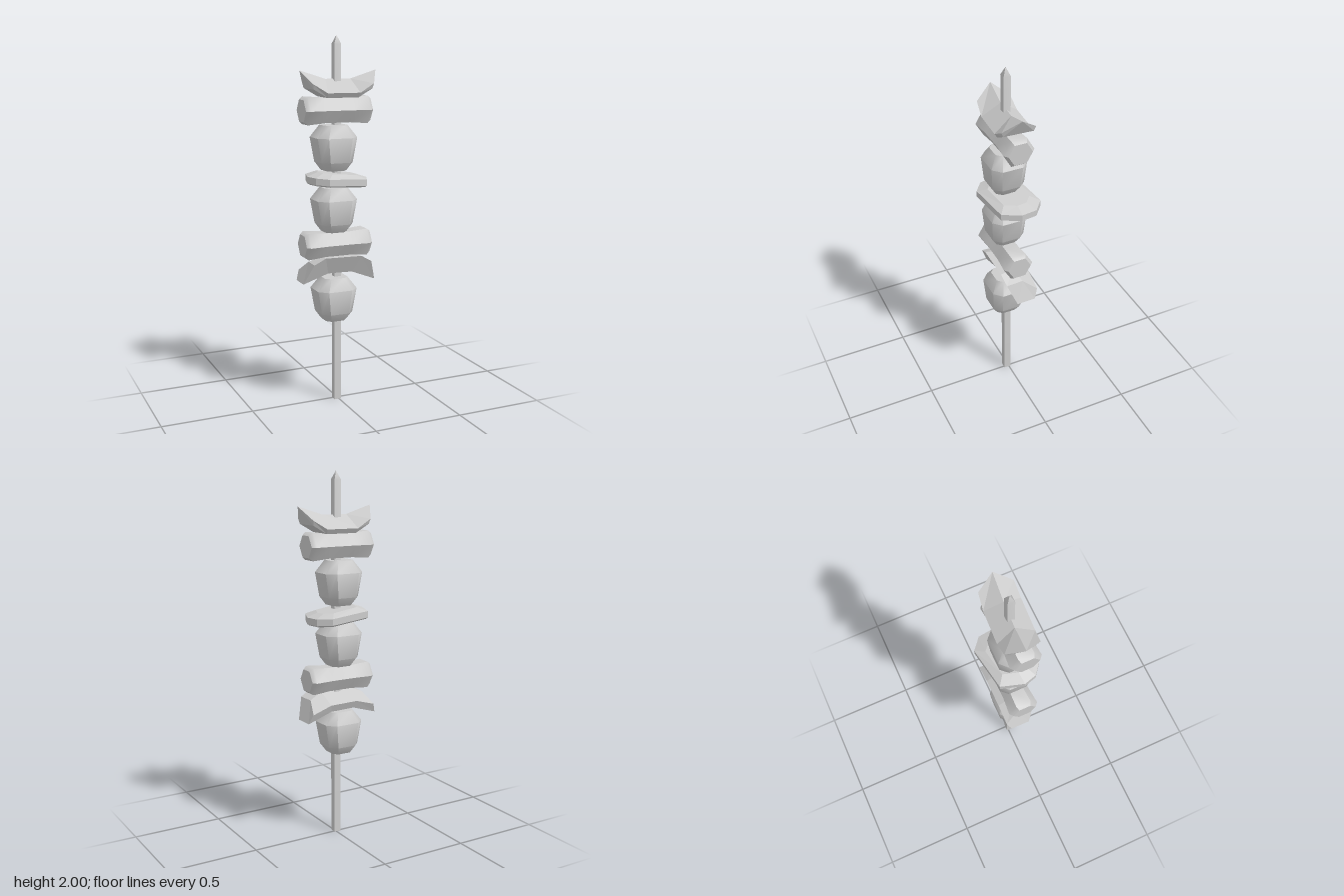
import * as THREE from 'three';
import { toCreasedNormals } from 'three/addons/utils/BufferGeometryUtils.js';

const CX = -0.008, CZ = 0.01; // skewer axis

// Closed skin over rings of [x, y, z]; rings run right-handed about the direction of travel
function loft(rings) {
  const pos = [];
  const n = rings[0].length;
  const tri = (a, b, c) => pos.push(...a, ...b, ...c);
  for (let i = 0; i < rings.length - 1; i++) {
    for (let j = 0; j < n; j++) {
      const k = (j + 1) % n;
      tri(rings[i][j], rings[i][k], rings[i + 1][k]);
      tri(rings[i][j], rings[i + 1][k], rings[i + 1][j]);
    }
  }
  const first = rings[0], last = rings[rings.length - 1];
  for (let j = 1; j < n - 1; j++) {
    tri(first[0], first[j + 1], first[j]);
    tri(last[0], last[j], last[j + 1]);
  }
  const g = new THREE.BufferGeometry();
  g.setAttribute('position', new THREE.Float32BufferAttribute(pos, 3));
  g.computeVertexNormals();
  return g;
}

const lathe = (profile, sides, start = 0) => new THREE.LatheGeometry(
  profile.map(([r, y]) => new THREE.Vector2(r, y)), sides, start);

// Square skewer with a pointed tip
function skewerGeometry() {
  const r = 0.019 * Math.SQRT2;
  return toCreasedNormals(lathe([[0, 0], [r, 0], [r, 1.955], [0, 2]], 4, Math.PI / 4), 0.6);
}

// Eight-sided chunk, tapering towards its base
function chunkGeometry() {
  const levels = [ // height, half width, half depth
    [0, 0.06, 0.062], [0.045, 0.09, 0.09], [0.175, 0.113, 0.1], [0.24, 0.066, 0.064],
  ];
  return toCreasedNormals(loft(levels.map(([y, a, b]) => {
    const p = a * 0.6, q = b * 0.57;
    return [[-p, b], [p, b], [a, q], [a, -q], [p, -b], [-p, -b], [-a, -q], [-a, q]]
      .map(([x, z]) => [x, y, z]);
  })), 0.8);
}

// Six-sided roll lying along x, slightly waisted, with bevelled ends
function rollGeometry() {
  const half = [[0.07, 0.06], [0.17, 0.084], [0.191, 0.066], [0.191, 0]]; // position, radius
  const profile = half.map(([y, r]) => [r, y]);
  const lower = profile.map(([r, y]) => [r, -y]).reverse();
  lower[lower.length - 1][0] = profile[0][0] = 0.075;
  const g = lathe([...lower, ...profile], 6);
  g.rotateZ(Math.PI / 2);
  return toCreasedNormals(g, 0.8);
}

// Curved wedge along x; each corner is [mid x, mid y, end x, end y, mid z, end z]
function wedgeGeometry(corners) {
  const mid = (s) => corners.map(([mx, my, , , mz]) => [s * mx, my, mz]);
  const end = (s) => corners.map(([, , ex, ey, , ez]) => [s * ex, ey, ez]);
  return loft([end(-1), mid(-1), mid(1), end(1)]);
}

// Thin slice with a crowned top, sloping down towards +x
function sliceGeometry() {
  const outline = [
    [-0.18, 0.02], [-0.16, 0.09], [-0.1, 0.137], [0.13, 0.1],
    [0.175, 0], [0.165, -0.085], [0.1, -0.14], [-0.14, -0.103],
  ];
  const ring = (y, s) => outline.map(([x, z]) => [x * s, y - 0.07 * x, z * s]);
  return loft([ring(1.212, 0.93), ring(1.22, 1), ring(1.255, 1), ring(1.276, 0.65)]);
}

export function createModel() {
  const group = new THREE.Group();
  const smooth = new THREE.MeshStandardMaterial({ color: 0xcccccc });
  const flat = new THREE.MeshStandardMaterial({ color: 0xcccccc, flatShading: true });
  const add = (name, geometry, material, x = 0, y = 0, z = 0) => {
    const mesh = new THREE.Mesh(geometry, material);
    mesh.name = name;
    mesh.position.set(x, y, z);
    group.add(mesh);
    return mesh;
  };

  add('skewer', skewerGeometry(), smooth, CX, 0, CZ);

  const chunk = chunkGeometry();
  [0.47, 0.963, 1.295].forEach((y, i) => add('chunk' + (i + 1), chunk, smooth, -0.026, y, 0.012));

  const roll = rollGeometry();
  [0.895, 1.613].forEach((y, i) => add('roll' + (i + 1), roll, smooth, -0.017, y, 0.013));

  add('slice', sliceGeometry(), flat);

  // Upper wedge: ridged on top, ends turned up
  const upper = add('upperWedge', wedgeGeometry([
    [0.07, 1.775, 0.213, 1.82, 0, 0],
    [0.09, 1.705, 0.168, 1.752, 0.096, 0.09],
    [0.085, 1.68, 0.163, 1.725, 0.08, 0.08],
    [0.085, 1.68, 0.163, 1.725, -0.08, -0.08],
    [0.09, 1.705, 0.168, 1.752, -0.096, -0.09],
  ]), flat, 0, 0, 0.012);
  upper.rotation.y = -0.055;

  // Lower wedge: leaning to the back, ends turned down
  const lower = add('lowerWedge', wedgeGeometry([
    [0.085, 0.828, 0.163, 0.795, 0.01, -0.01],
    [0.105, 0.83, 0.168, 0.795, 0.092, 0.085],
    [0.07, 0.735, 0.211, 0.683, 0.045, 0.04],
    [0.07, 0.73, 0.209, 0.683, -0.07, -0.066],
    [0.08, 0.77, 0.19, 0.735, -0.088, -0.087],
  ]), flat, -0.002);
  lower.rotation.z = -0.025;
  lower.position.x -= 0.018;

  return group;
}
